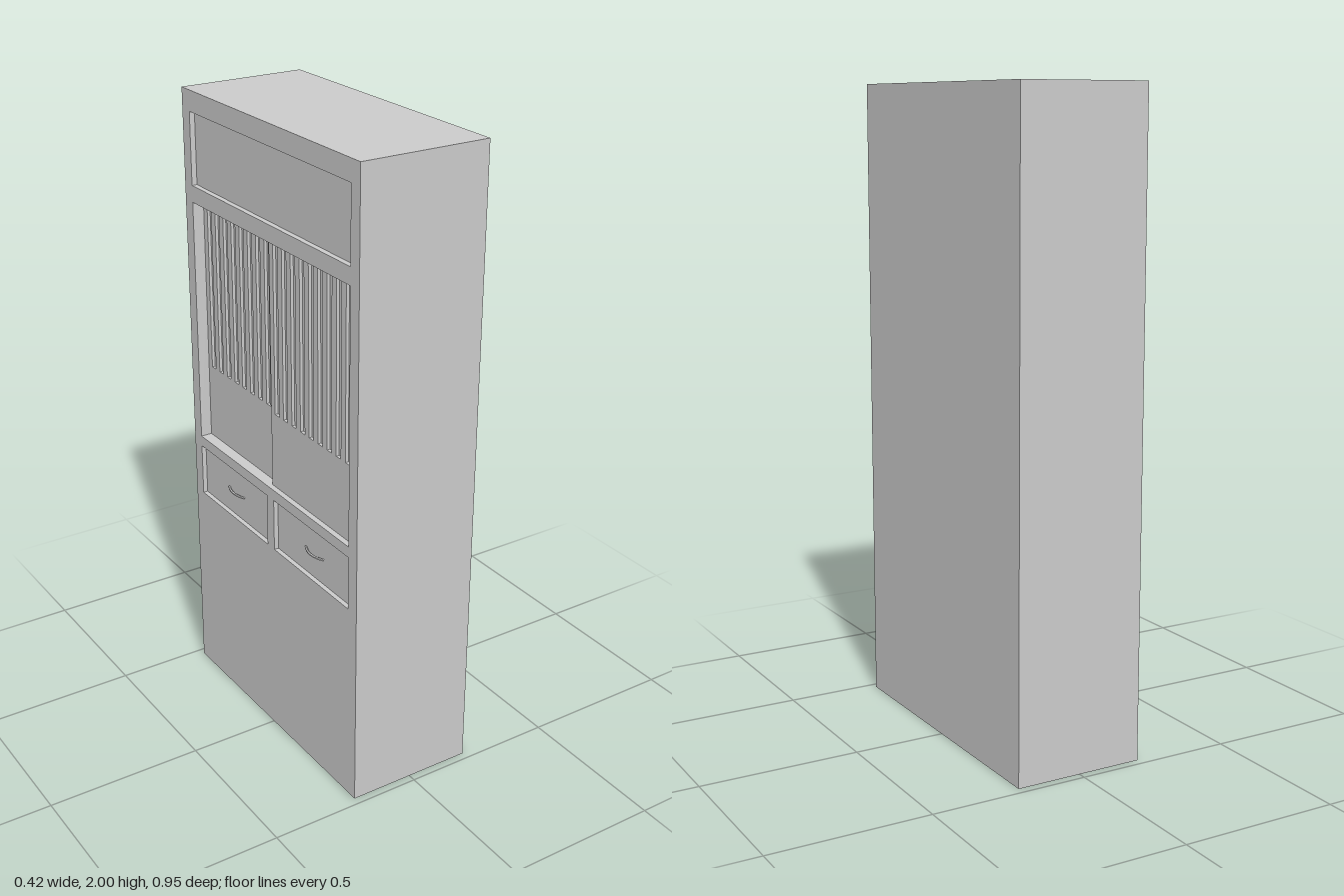
import * as THREE from 'three';

const mat = new THREE.MeshStandardMaterial({ color: 0xcccccc, flatShading: true });
const FACE = -0.206, BACK = 0.208, HALF = 0.475, HEIGHT = 2, FRAME = 0.06;

// Traces a rectangle given as [z0, z1, y0, y1].
function trace(path, [z0, z1, y0, y1]) {
  path.moveTo(z0, y0).lineTo(z1, y0).lineTo(z1, y1).lineTo(z0, y1).closePath();
  return path;
}

// Upright slab facing -x, its face at x = front, with rectangular holes.
function slab(name, rect, front, thick, holes = []) {
  const shape = trace(new THREE.Shape(), rect);
  shape.holes = holes.map(h => trace(new THREE.Path(), h));
  const geo = new THREE.ExtrudeGeometry(shape, { depth: thick, bevelEnabled: false });
  geo.rotateY(-Math.PI / 2).translate(front + thick, 0, 0);
  const mesh = new THREE.Mesh(geo, mat);
  mesh.name = name;
  return mesh;
}

// Sliding door: slotted front layer over a plain backing.
function slidingDoor(name, z0, z1, front) {
  const door = new THREE.Group();
  door.name = name;
  const count = 9, pitch = (z1 - z0 - 0.02) / count, slots = [];
  for (let i = 0; i < count; i++) {
    const a = z0 + 0.01 + pitch * (i + 0.25);
    slots.push([a, a + pitch * 0.5, 1.11, 1.645]);
  }
  const rect = [z0, z1, 0.865, 1.655];
  door.add(slab('slattedFront', rect, front, 0.01, slots));
  door.add(slab('doorBacking', rect, front + 0.01, 0.009));
  return door;
}

// Bowed drawer pull, bulging towards -x.
function handle(name, z, apex, base) {
  const r = 0.004, top = 2 * (apex + r) - base;
  const curve = new THREE.QuadraticBezierCurve3(
    new THREE.Vector3(base, 0.742, z - 0.05),
    new THREE.Vector3(top, 0.742, z),
    new THREE.Vector3(base, 0.742, z + 0.05));
  const mesh = new THREE.Mesh(new THREE.TubeGeometry(curve, 12, r, 6), mat);
  mesh.name = name;
  return mesh;
}

export function createModel() {
  const cabinet = new THREE.Group();
  cabinet.name = 'cabinet';

  // Carcass behind the face frame
  const depth = BACK - FACE - FRAME;
  const body = new THREE.Mesh(new THREE.BoxGeometry(depth, HEIGHT, HALF * 2), mat);
  body.position.set(BACK - depth / 2, HEIGHT / 2, 0);
  body.name = 'carcass';
  cabinet.add(body);

  // Face frame with openings
  const topOpening = [-0.432, 0.432, 1.708, 1.935];
  const doorOpening = [-0.432, 0.432, 0.865, 1.655];
  const drawers = [[-0.432, -0.02, 0.658, 0.83], [0.02, 0.432, 0.658, 0.83]];
  cabinet.add(slab('faceFrame', [-HALF, HALF, 0, HEIGHT], FACE, FRAME,
    [topOpening, doorOpening, ...drawers]));

  // Recessed panel and doors, one sliding in front of the other
  cabinet.add(slab('topPanel', topOpening, FACE + 0.017, 0.02));
  cabinet.add(slidingDoor('rearSlidingDoor', -0.432, 0.02, FACE + 0.037));
  cabinet.add(slidingDoor('frontSlidingDoor', -0.015, 0.432, FACE + 0.018));

  // Drawers with pulls
  drawers.forEach((rect, i) => {
    const drawer = new THREE.Group();
    drawer.name = i ? 'leftDrawer' : 'rightDrawer';
    drawer.add(slab('drawerFront', rect, FACE + 0.015, 0.02));
    drawer.add(handle('drawerHandle', i ? 0.231 : -0.231, i ? -0.2095 : -0.2075, FACE + 0.015));
    cabinet.add(drawer);
  });
  return cabinet;
}
